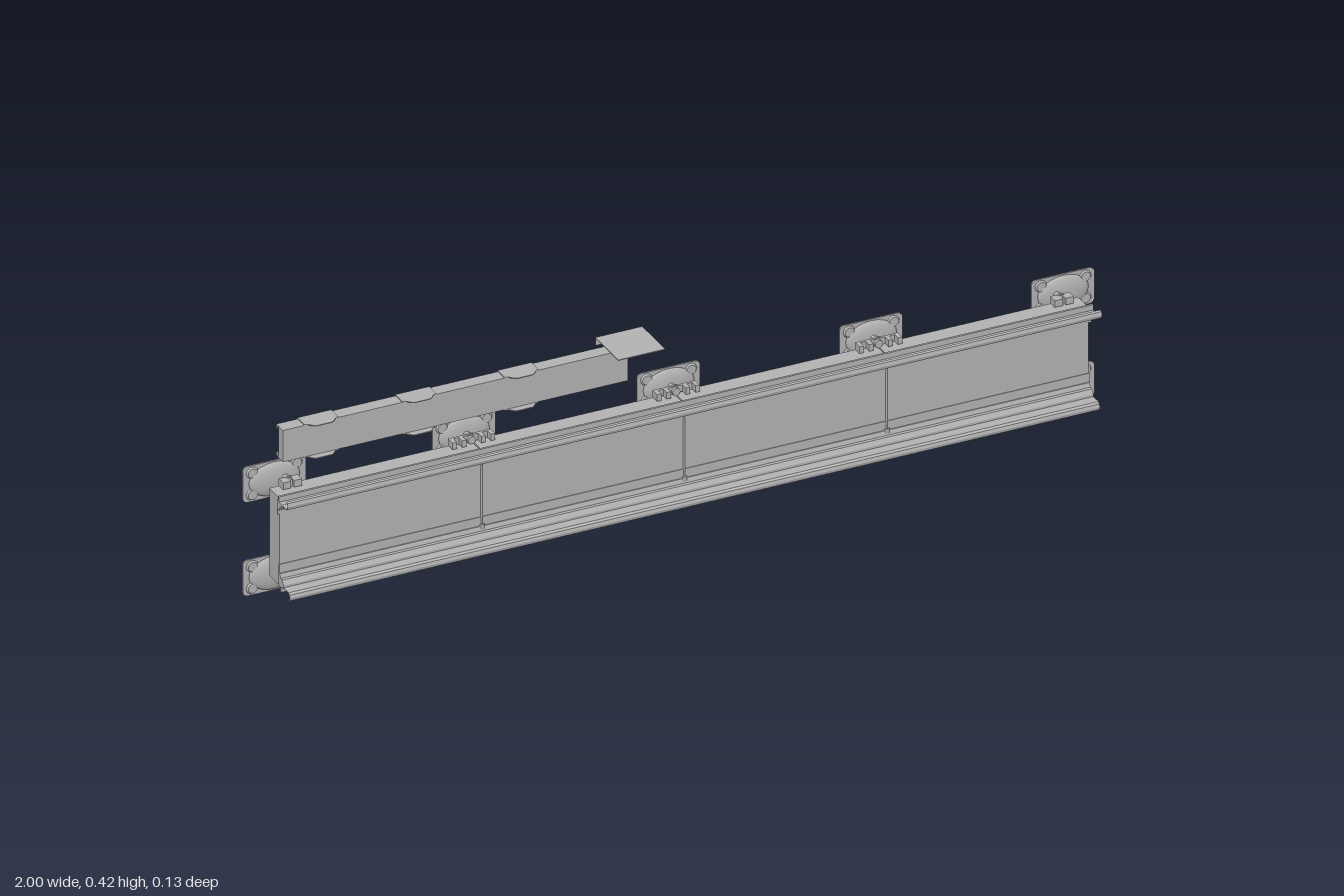
import * as THREE from 'three';

const grey = new THREE.MeshStandardMaterial({ color: 0xb2b2b2 });
grey.name = 'plain grey';

function add(parent, name, geometry, x = 0, y = 0, z = 0) {
  const mesh = new THREE.Mesh(geometry, grey);
  mesh.name = name;
  mesh.position.set(x, y, z);
  parent.add(mesh);
  return mesh;
}

// Box given by its limits
function block(parent, name, x0, x1, y0, y1, z0, z1) {
  return add(parent, name, new THREE.BoxGeometry(x1 - x0, y1 - y0, z1 - z0),
    (x0 + x1) / 2, (y0 + y1) / 2, (z0 + z1) / 2);
}

// Section given as [z, y] points, swept along x
function sweepX(parent, name, points, x0, x1) {
  const shape = new THREE.Shape(points.map(([z, y]) => new THREE.Vector2(-z, y)));
  const geometry = new THREE.ExtrudeGeometry(shape, { depth: x1 - x0, bevelEnabled: false });
  geometry.rotateY(Math.PI / 2);
  return add(parent, name, geometry, x0);
}

function roundRect(path, cx, cy, w, h, r) {
  const a = w / 2 - r, b = h / 2 - r;
  path.absarc(cx + a, cy + b, r, 0, Math.PI / 2);
  path.absarc(cx - a, cy + b, r, Math.PI / 2, Math.PI);
  path.absarc(cx - a, cy - b, r, Math.PI, Math.PI * 1.5);
  path.absarc(cx + a, cy - b, r, Math.PI * 1.5, Math.PI * 2);
  path.closePath();
  return path;
}

function plate(shape, depth) {
  return new THREE.ExtrudeGeometry(shape, { depth, bevelEnabled: false, curveSegments: 8 });
}

// One panel: pocketed back, closed front skin
function panel(cx) {
  const group = new THREE.Group();
  group.name = 'panel';
  const w = 0.472;
  const shape = new THREE.Shape();
  shape.moveTo(-w / 2, -0.105);
  shape.lineTo(w / 2, -0.105);
  shape.lineTo(w / 2, 0.105);
  shape.lineTo(-w / 2, 0.105);
  shape.closePath();
  for (let i = 0; i < 4; i++) {
    shape.holes.push(roundRect(new THREE.Path(), (i - 1.5) * 0.092, 0, 0.058, 0.125, 0.026));
  }
  for (const sx of [-1, 1]) for (const sy of [-1, 1]) {
    shape.holes.push(new THREE.Path().absarc(sx * 0.19, sy * 0.072, 0.005, 0, Math.PI * 2));
  }
  add(group, 'pocketedBack', plate(shape, 0.042), 0, 0, -0.035);
  block(group, 'frontSkin', -w / 2, w / 2, -0.105, 0.105, 0.007, 0.015);
  group.position.set(cx, 0.157, 0);
  return group;
}

// Wall bracket: slotted back plate, domed front, stub and clip; up = 1 for the upper row
function bracket(cx, up, clipX) {
  const group = new THREE.Group();
  group.name = 'wallBracket';
  const shape = roundRect(new THREE.Shape(), 0, 0, 0.148, 0.086, 0.012);
  for (const x of [-0.034, -0.017, 0, 0.017, 0.034]) {
    shape.holes.push(roundRect(new THREE.Path(), x, 0, 0.009, 0.032, 0.004));
  }
  for (const sx of [-1, 1]) for (const sy of [-1, 1]) {
    shape.holes.push(roundRect(new THREE.Path(), sx * 0.058, sy * 0.026, 0.012, 0.006, 0.0028));
  }
  add(group, 'backPlate', plate(shape, 0.004), 0, 0, -0.063);
  block(group, 'backPlateRim', -0.05, 0.05, 0.025, 0.028, -0.0645, -0.063);
  block(group, 'backPlateRim', -0.05, 0.05, -0.028, -0.025, -0.0645, -0.063);
  const dome = new THREE.SphereGeometry(1, 24, 6, 0, Math.PI * 2, 0, Math.PI / 2);
  dome.rotateX(Math.PI / 2);
  dome.scale(0.06, 0.04, 0.012);
  add(group, 'dome', dome, 0, 0, -0.059);
  const footing = new THREE.CylinderGeometry(0.011, 0.014, 0.004, 16).rotateX(Math.PI / 2);
  for (const sx of [-1, 1]) for (const sy of [-1, 1]) {
    add(group, 'screwFooting', footing, sx * 0.052, sy * 0.026, -0.057);
  }
  const stub = new THREE.CylinderGeometry(0.009, 0.009, 0.03, 16).rotateX(Math.PI / 2);
  add(group, 'stub', stub, clipX, up * 0.002, -0.036);
  const collar = new THREE.CylinderGeometry(0.013, 0.013, 0.005, 16).rotateX(Math.PI / 2);
  add(group, 'collar', collar, clipX, up * 0.002, -0.032);
  // Clip gripping the edge of the panels
  const half = clipX ? 0.022 : 0.05;
  const lo = up > 0 ? -0.004 : -0.012, hi = up > 0 ? 0.012 : 0.004;
  block(group, 'clipBar', clipX - half, clipX + half, lo, hi, -0.034, -0.028);
  for (const t of [-1, -0.5, 0.5, 1]) {
    const x = clipX + t * (half - 0.005);
    block(group, 'clipProng', x - 0.005, x + 0.005, lo, hi, -0.03, -0.012);
  }
  group.position.set(cx, up > 0 ? 0.268 : 0.043, 0);
  return group;
}

export function createModel() {
  const model = new THREE.Group();
  model.name = 'wallRail';

  for (let i = 0; i < 4; i++) model.add(panel((i - 1.5) * 0.475));

  [-0.925, -0.48, 0, 0.475, 0.925].forEach((x, i) => {
    const clipX = i === 0 ? 0.02 : i === 4 ? -0.02 : 0;
    model.add(bracket(x, 1, clipX), bracket(x, -1, clipX));
  });

  // Upper rail with an upturned lip
  const upper = new THREE.Group();
  upper.name = 'upperRail';
  sweepX(upper, 'railBody', [[0.014, 0.226], [0.017, 0.226], [0.017, 0.24], [0.026, 0.24], [0.03, 0.25],
    [0.038, 0.25], [0.038, 0.259], [0.025, 0.259], [0.025, 0.272], [0.02, 0.272], [0.02, 0.261], [0.014, 0.261]], -0.955, 0.955);
  sweepX(upper, 'railLip', [[0.036, 0.257], [0.06, 0.257], [0.065, 0.26], [0.067, 0.267], [0.065, 0.275],
    [0.06, 0.277], [0.06, 0.2755], [0.064, 0.273], [0.0655, 0.267], [0.063, 0.261], [0.059, 0.2585], [0.036, 0.2585]], -0.955, 0.955);
  model.add(upper);

  // Lower rail with a downturned lip
  const lower = new THREE.Group();
  lower.name = 'lowerRail';
  sweepX(lower, 'railBody', [[0.013, 0.052], [0.02, 0.052], [0.02, 0.041], [0.025, 0.041], [0.025, 0.054],
    [0.036, 0.054], [0.036, 0.063], [0.03, 0.073], [0.022, 0.073], [0.019, 0.083], [0.0165, 0.083], [0.0165, 0.104], [0.013, 0.104]], -0.95, 0.95);
  sweepX(lower, 'railLip', [[0.034, 0.0575], [0.06, 0.0575], [0.065, 0.054], [0.067, 0.047], [0.065, 0.04],
    [0.06, 0.038], [0.06, 0.0395], [0.064, 0.042], [0.0655, 0.047], [0.063, 0.053], [0.059, 0.056], [0.034, 0.056]], -0.95, 0.95);
  model.add(lower);

  // Rods covering the panel joints
  for (const x of [-0.475, 0, 0.475]) {
    add(model, 'jointRod', new THREE.CylinderGeometry(0.0025, 0.0025, 0.16, 8), x, 0.155, 0.016);
    add(model, 'rodFoot', new THREE.CylinderGeometry(0.006, 0.006, 0.012, 12), x, 0.081, 0.016);
  }
  block(model, 'cableStrip', 0.72, 0.95, 0.234, 0.239, 0.015, 0.021);
  for (const s of [-1, 1]) {
    block(model, 'endCover', s * 0.946 - 0.002, s * 0.946 + 0.002, 0.055, 0.258, -0.003, 0.015);
  }

  // Channel tray, open to the back
  const tray = new THREE.Group();
  tray.name = 'tray';
  const x0 = -0.92, x1 = -0.11;
  sweepX(tray, 'trayChannel', [[-0.028, 0.321], [-0.028, 0.397], [-0.06, 0.397], [-0.06, 0.388], [-0.058, 0.388],
    [-0.058, 0.395], [-0.03, 0.395], [-0.03, 0.323], [-0.058, 0.323], [-0.058, 0.33], [-0.06, 0.33], [-0.06, 0.321]], x0, x1);
  block(tray, 'trayEnd', x0, x0 + 0.012, 0.323, 0.395, -0.048, -0.03);
  // Clips around the tray with curved tabs above and below
  for (const x of [-0.83, -0.6, -0.36]) {
    block(tray, 'trayClip', x - 0.03, x + 0.03, 0.319, 0.399, -0.062, -0.06);
    const tab = new THREE.Shape();
    tab.moveTo(-0.04, 0.062);
    tab.lineTo(-0.04, 0.028);
    tab.bezierCurveTo(-0.025, 0.026, -0.028, 0.013, -0.015, 0.013);
    tab.lineTo(0.015, 0.013);
    tab.bezierCurveTo(0.028, 0.013, 0.025, 0.026, 0.04, 0.028);
    tab.lineTo(0.04, 0.062);
    tab.closePath();
    const tabGeometry = plate(tab, 0.002).rotateX(-Math.PI / 2);
    add(tray, 'trayTab', tabGeometry, x, 0.397, 0);
    add(tray, 'trayTab', tabGeometry, x, 0.319, 0);
  }
  model.add(tray);

  // Loose angled cover above the tray end
  sweepX(model, 'cover', [[0.047, 0.42], [0.047, 0.422], [-0.063, 0.422], [-0.063, 0.403], [-0.0615, 0.403], [-0.0615, 0.42]], -0.17, -0.06);

  return model;
}
